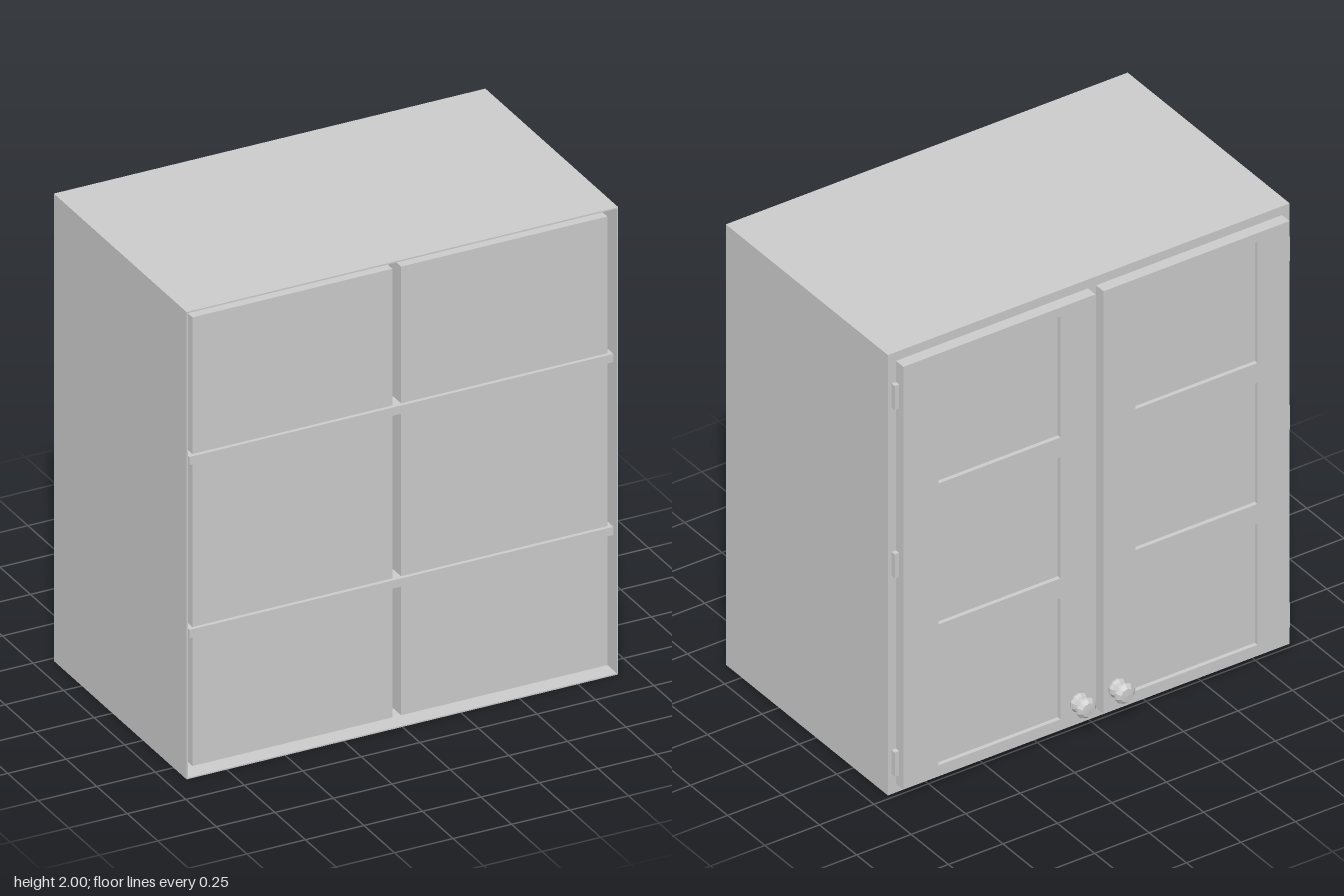
import * as THREE from 'three';

const material = new THREE.MeshStandardMaterial({ color: 0xcccccc, flatShading: true });

// Box given by its minimum and maximum corners
function box(parent, name, [x0, y0, z0], [x1, y1, z1]) {
  const mesh = new THREE.Mesh(new THREE.BoxGeometry(x1 - x0, y1 - y0, z1 - z0), material);
  mesh.name = name;
  mesh.position.set((x0 + x1) / 2, (y0 + y1) / 2, (z0 + z1) / 2);
  parent.add(mesh);
  return mesh;
}

// Door frame with three window openings and a recessed pane
function door(x0, x1) {
  const group = new THREE.Group();
  const y0 = 0.04, y1 = 1.96, mid = (x0 + x1) / 2;
  const rect = (path, a, b, c, d) =>
    path.moveTo(a, b).lineTo(c, b).lineTo(c, d).lineTo(a, d).closePath();
  const shape = new THREE.Shape();
  rect(shape, x0, y0, x1, y1);
  for (let i = 0; i < 3; i++) {
    const hole = new THREE.Path();
    const bottom = 0.09 + i * 0.64;
    rect(hole, mid - 0.28, bottom, mid + 0.28, bottom + 0.55);
    shape.holes.push(hole);
  }
  const geometry = new THREE.ExtrudeGeometry(shape, { depth: 0.05, bevelEnabled: false });
  geometry.translate(0, 0, -0.53);
  const frame = new THREE.Mesh(geometry, material);
  frame.name = 'doorFrame';
  group.add(frame);
  box(group, 'doorPane', [mid - 0.29, 0.08, -0.512], [mid + 0.29, 1.93, -0.485]);
  return group;
}

export function createModel() {
  const model = new THREE.Group();
  model.name = 'wallCabinet';
  const W = 0.922, H = 2, BACK = 0.607, FACE = -0.48, T = 0.006;

  // Carcass, open towards +z
  const carcass = new THREE.Group();
  carcass.name = 'carcass';
  box(carcass, 'rightWall', [-W, 0, FACE], [-W + T, H, BACK]);
  box(carcass, 'leftWall', [W - T, 0, FACE], [W, H, BACK]);
  box(carcass, 'floor', [-W + T, 0, FACE], [W - T, T, BACK]);
  box(carcass, 'top', [-W + T, H - T, FACE], [W - T, H, BACK]);
  box(carcass, 'facePlate', [-W + T, T, FACE], [W - T, H - T, FACE + T]);
  model.add(carcass);

  // Shelves
  for (const y of [0.6, 1.34]) {
    box(model, 'shelf', [-0.908, y, FACE + T], [0.903, y + 0.035, BACK - 0.003]);
  }

  // Knob profile, turned around the door normal
  const profile = [[0, 0], [0.036, 0], [0.042, 0.014], [0.036, 0.028], [0.022, 0.036],
    [0.024, 0.042], [0.045, 0.056], [0.043, 0.064], [0.03, 0.078], [0, 0.08]]
    .map(([r, h]) => new THREE.Vector2(r, h));
  const knobGeometry = new THREE.LatheGeometry(profile, 10);
  knobGeometry.rotateX(-Math.PI / 2);

  const sides = [
    { name: 'right', x0: -0.887, x1: -0.033, hinge: [-0.909, -0.887], knob: -0.09 },
    { name: 'left', x0: 0.004, x1: 0.885, hinge: [0.885, 0.905], knob: 0.087 },
  ];
  for (const s of sides) {
    // Inner compartment block, separated from the walls by a narrow gap
    box(model, s.name + 'Compartment', [s.x0, 0.04, FACE + T], [s.x1, 1.96, 0.588]);

    const leaf = door(s.x0, s.x1);
    leaf.name = s.name + 'Door';
    for (const y of [0.09, 0.99, 1.755]) {
      box(leaf, 'hinge', [s.hinge[0], y, -0.502], [s.hinge[1], y + 0.11, FACE + 0.012]);
    }
    const knob = new THREE.Mesh(knobGeometry, material);
    knob.name = 'knob';
    knob.position.set(s.knob, 0.145, -0.53);
    leaf.add(knob);
    model.add(leaf);
  }
  return model;
}
